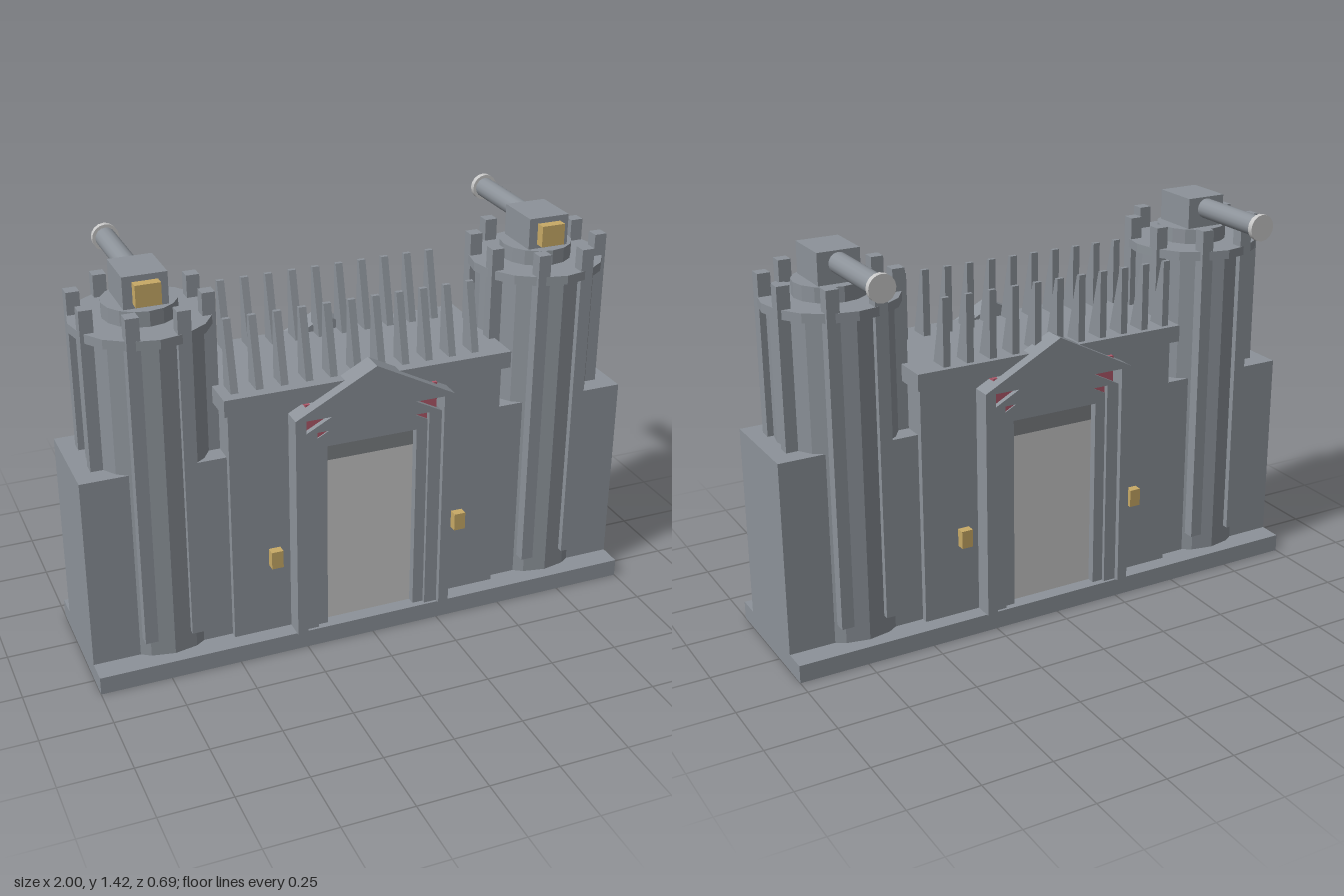
import * as THREE from 'three';

const mat = (name, color) => {
  const m = new THREE.MeshStandardMaterial({ color });
  m.name = name;
  return m;
};

export function createModel() {
  const stone = mat('grey stone', 0x8c9299);
  const dark = mat('dark grey', 0x7c8084);
  const pale = mat('pale grey', 0xc8c8c8);
  const gold = mat('gold', 0xc8aa66);
  const red = mat('red', 0xb0596a);

  const model = new THREE.Group();
  model.name = 'gatehouse';
  const body = new THREE.Group();
  body.name = 'body';
  body.position.z = 0.075; // the guns overhang the back, so the walls sit forward
  model.add(body);

  const add = (parent, name, geo, material, x = 0, y = 0, z = 0) => {
    const m = new THREE.Mesh(geo, material);
    m.name = name;
    m.position.set(x, y, z);
    parent.add(m);
    return m;
  };
  // box given by its limits on each axis
  const box = (parent, name, material, [x0, x1], [y0, y1], [z0, z1]) =>
    add(parent, name, new THREE.BoxGeometry(x1 - x0, y1 - y0, z1 - z0), material,
      (x0 + x1) / 2, (y0 + y1) / 2, (z0 + z1) / 2);
  // faceted upright cylinder from y0 to y1
  const drum = (parent, name, material, r, y0, y1) => {
    const geo = new THREE.CylinderGeometry(r, r, y1 - y0, 16).toNonIndexed();
    geo.computeVertexNormals();
    return add(parent, name, geo, material, 0, (y0 + y1) / 2, 0);
  };

  // plinth, wall and cornice
  box(body, 'plinth', stone, [-1, 1], [0, 0.065], [-0.26, 0.26]);
  box(body, 'wall', stone, [-0.5, 0.5], [0.065, 0.94], [-0.2, 0.2]);
  box(body, 'cornice', stone, [-0.52, 0.52], [0.94, 1.0], [-0.23, 0.23]);

  // two rows of fins, upright behind and sloping in front
  const finShape = new THREE.Shape();
  finShape.moveTo(0, 0);
  finShape.lineTo(0.075, 0);
  finShape.lineTo(0.075, 0.24);
  finShape.lineTo(0.06, 0.24);
  const finGeo = new THREE.ExtrudeGeometry(finShape, { depth: 0.026, bevelEnabled: false });
  finGeo.rotateY(Math.PI / 2); // shape x becomes -z, depth becomes x
  for (const z of [0.19, -0.135])
    for (let i = 0; i < 11; i++)
      add(body, 'fin', finGeo, stone, -0.483 + i * 0.0872, 1.0, z);

  // gabled door frame, open at the bottom
  const frame = (parent, name, w, inner, eave, apex, lintel, back, front) => {
    const s = new THREE.Shape();
    [[-w, 0.065], [-inner, 0.065], [-inner, lintel], [inner, lintel], [inner, 0.065],
      [w, 0.065], [w, eave], [0, apex], [-w, eave]]
      .forEach(([x, y], i) => (i ? s.lineTo(x, y) : s.moveTo(x, y)));
    s.closePath();
    add(parent, name, new THREE.ExtrudeGeometry(s, { depth: front - back, bevelEnabled: false }),
      stone, 0, 0, back);
  };

  // the same gate on the front and the back
  for (const [name, turn] of [['frontGate', 0], ['backGate', Math.PI]]) {
    const gate = new THREE.Group();
    gate.name = name;
    gate.rotation.y = turn;
    body.add(gate);
    frame(gate, 'outerFrame', 0.29, 0.252, 0.9, 1.052, 0.895, 0.19, 0.27);
    frame(gate, 'middleFrame', 0.252, 0.205, 0.833, 0.965, 0.835, 0.19, 0.25);
    frame(gate, 'innerFrame', 0.205, 0.165, 0.803, 0.91, 0.77, 0.19, 0.236);
    box(gate, 'redPanel', red, [-0.24, 0.24], [0.79, 0.935], [0.19, 0.231]);
    box(gate, 'door', pale, [-0.165, 0.165], [0.065, 0.7], [0.19, 0.207]);
    box(gate, 'doorHeader', dark, [-0.165, 0.165], [0.7, 0.77], [0.19, 0.207]);
    for (const x of [-0.347, 0.347])
      box(gate, 'wallLamp', gold, [x - 0.021, x + 0.021], [0.33, 0.395], [0.19, 0.231]);
  }

  for (const side of [-1, 1]) {
    const label = side > 0 ? 'left' : 'right';
    // flanking block
    add(body, label + 'Block', new THREE.BoxGeometry(0.51, 0.7, 0.35), stone, side * 0.745, 0.415, 0);

    // round tower with collar
    const tower = new THREE.Group();
    tower.name = label + 'Tower';
    tower.position.x = side * 0.72;
    body.add(tower);
    drum(tower, 'towerShaft', stone, 0.213, 0.065, 1.25);
    drum(tower, 'collar', stone, 0.238, 1.22, 1.252);
    drum(tower, 'turretBase', stone, 0.126, 1.25, 1.305);

    // eight square pillars
    const pillarGeo = new THREE.BoxGeometry(0.045, 1.195, 0.045);
    for (let i = 0; i < 8; i++) {
      const a = (i + 0.5) * Math.PI / 4;
      add(tower, 'pillar', pillarGeo, stone, 0.217 * Math.sin(a), 0.7325, 0.217 * Math.cos(a));
    }

    // gun pointing to the back
    box(tower, 'gunHousing', stone, [-0.075, 0.075], [1.305, 1.415], [-0.088, 0.088]);
    box(tower, 'gunSight', gold, [-0.043, 0.043], [1.32, 1.395], [0.088, 0.123]);
    const barrel = new THREE.CylinderGeometry(0.036, 0.036, 0.32, 16).rotateX(Math.PI / 2);
    add(tower, 'barrel', barrel, stone, 0, 1.373, -0.24);
    const muzzle = new THREE.CylinderGeometry(0.047, 0.047, 0.02, 16).rotateX(Math.PI / 2);
    add(tower, 'muzzle', muzzle, pale, 0, 1.373, -0.408);
  }
  return model;
}
